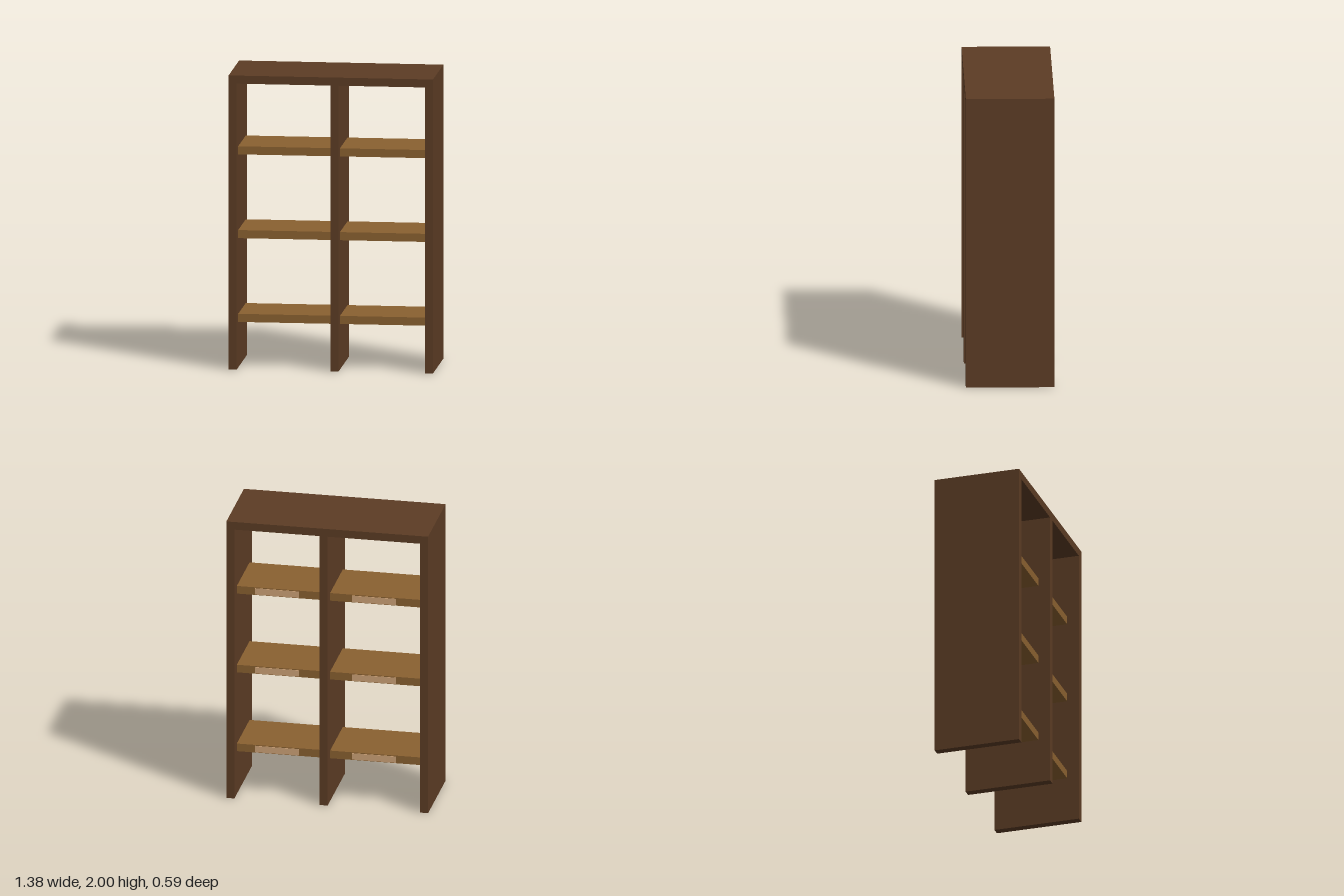
import * as THREE from 'three';

export function createModel() {
  const model = new THREE.Group();
  model.name = 'bookcase';

  const material = (name, color) => {
    const m = new THREE.MeshStandardMaterial({ color });
    m.name = name;
    return m;
  };
  const darkWood = material('dark wood', 0x5c3c24);
  const shelfWood = material('shelf wood', 0x8a6130);
  const paleWood = material('pale wood', 0xd0a478);

  // Box given by its limits on each axis
  const addBox = (name, mat, [x0, x1], [y0, y1], [z0, z1]) => {
    const mesh = new THREE.Mesh(new THREE.BoxGeometry(x1 - x0, y1 - y0, z1 - z0), mat);
    mesh.position.set((x0 + x1) / 2, (y0 + y1) / 2, (z0 + z1) / 2);
    mesh.name = name;
    model.add(mesh);
  };

  const T = 0.055; // board thickness
  const W = 0.69; // half width
  const D = 0.297; // half depth
  const S = 0.215; // half depth of the shelves

  // Upright panels
  addBox('rightPanel', darkWood, [-W, -W + T], [0, 2], [-D, D]);
  addBox('middlePanel', darkWood, [-0.003, 0.052], [0, 2], [-D, D]);
  addBox('leftPanel', darkWood, [W - T, W], [0, 2], [-D, D]);

  // Top board, in two spans between the uprights
  const bays = [
    { side: 'right', span: [-W + T, -0.003], plate: -0.305 },
    { side: 'left', span: [0.052, W - T], plate: 0.36 },
  ];
  for (const { side, span, plate } of bays) {
    addBox(`${side}TopBoard`, darkWood, span, [2 - T, 2], [-D, D]);

    // Recessed shelves, each with a thin plate on its back edge
    for (const y of [0.31, 0.88, 1.45]) {
      addBox(`${side}Shelf`, shelfWood, span, [y, y + T], [-S, S]);
      addBox(`${side}ShelfPlate`, paleWood, [plate - 0.15, plate + 0.15],
        [y + 0.004, y + T - 0.006], [-S - 0.004, -S]);
    }
  }

  return model;
}
